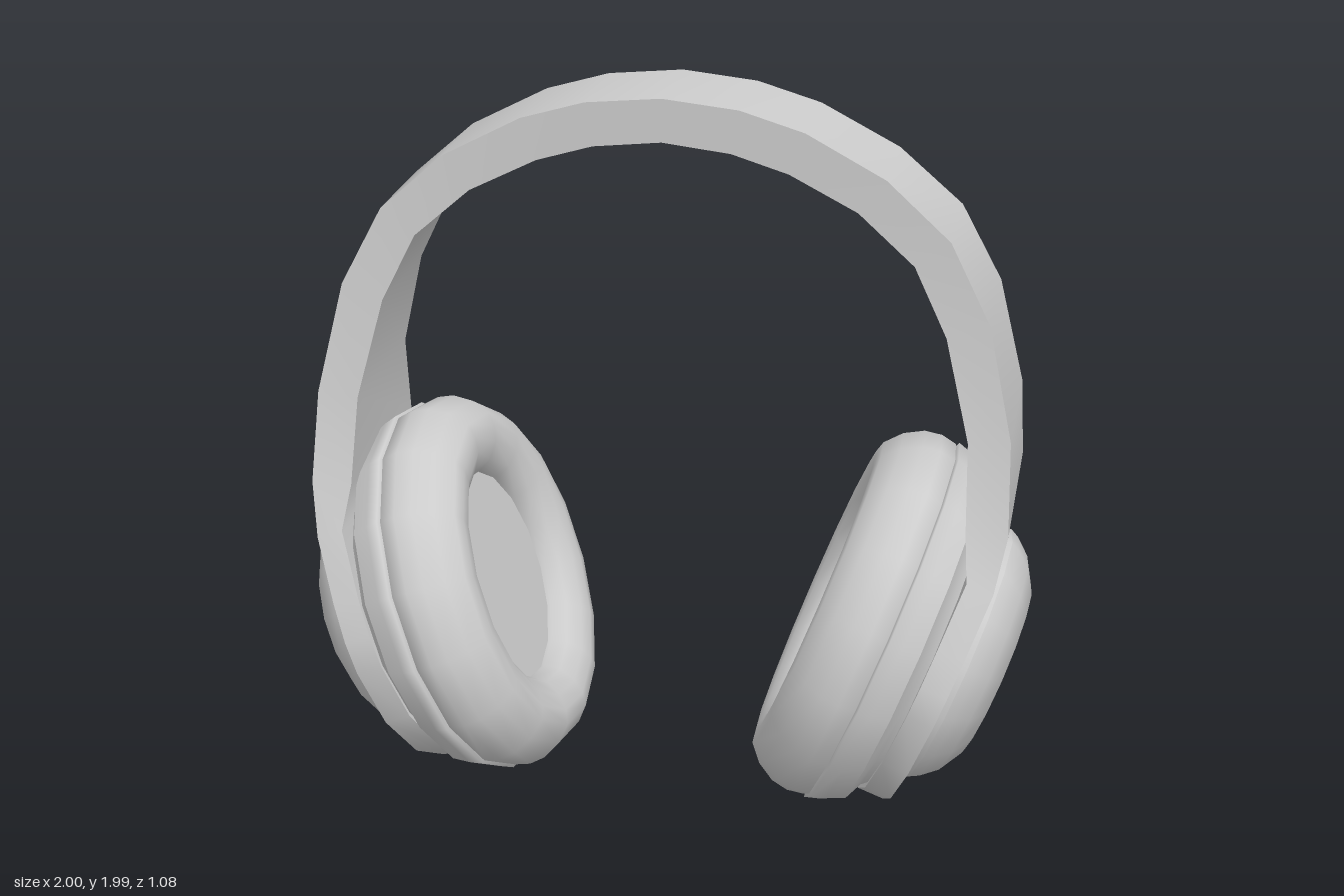
import * as THREE from 'three';

const material = new THREE.MeshStandardMaterial({ color: 0xcccccc, side: THREE.DoubleSide });
const TILT = THREE.MathUtils.degToRad(20.85);
const CUP = new THREE.Vector2(0.245, 0.643); // foot of the cup axis

// Point on the +x side: s along the cup axis (outward), t up the cup plane from its centre.
function cupPoint(s, t) {
  const c = Math.cos(TILT), n = Math.sin(TILT);
  return [CUP.x + s * c + t * n, CUP.y - s * n + t * c];
}

function lathe(name, profile) {
  const points = profile.map(([r, s]) => new THREE.Vector2(r, s));
  const mesh = new THREE.Mesh(new THREE.LatheGeometry(points, 16), material);
  mesh.name = name;
  return mesh;
}

// Headband swept over the head, widening into a round plate behind each cup.
function createHeadband() {
  // outer x, outer y, inner x, inner y, half width
  const half = [
    [0, 2, 0, 1.885, 0.147],
    [0.2, 1.98, 0.18, 1.865, 0.147],
    [0.37, 1.93, 0.33, 1.82, 0.148],
    [0.58, 1.82, 0.51, 1.73, 0.153],
    [0.75, 1.67, 0.66, 1.6, 0.165],
    [0.86, 1.46, 0.75, 1.42, 0.185],
    [0.93, 1.16, 0.82, 1.15, 0.223],
    [0.94, 0.92, 0.83, 0.92, 0.285],
  ];
  const plate = [[0.367, 0.345], [0.195, 0.42], [0.09, 0.452]];
  for (let i = 0; i <= 4; i++) {
    const a = (i * Math.PI) / 8;
    plate.push([-0.46 * Math.sin(a), 0.46 * Math.cos(a)]);
  }
  for (const [t, w] of plate) half.push([...cupPoint(0.575, t), ...cupPoint(0.5, t), Math.max(w, 0.001)]);

  const mirrored = half.slice(1).reverse().map(([a, b, c, d, w]) => [-a, b, -c, d, w]);
  const sections = [...mirrored, ...half];
  const zShift = -0.013;
  const corners = sections.map(([xo, yo, xi, yi, w]) => [
    [xo, yo, zShift + w], [xo, yo, zShift - w], [xi, yi, zShift - w], [xi, yi, zShift + w],
  ]);

  // Each of the four sides has its own vertices, so the long edges stay sharp.
  const positions = [], index = [];
  for (let side = 0; side < 4; side++) {
    const base = positions.length / 3;
    corners.forEach((c, i) => {
      positions.push(...c[side], ...c[(side + 1) % 4]);
      if (i === 0) return;
      const a = base + 2 * (i - 1);
      index.push(a, a + 2, a + 3, a, a + 3, a + 1);
    });
  }
  const geometry = new THREE.BufferGeometry();
  geometry.setAttribute('position', new THREE.Float32BufferAttribute(positions, 3));
  geometry.setIndex(index);
  geometry.computeVertexNormals();
  const mesh = new THREE.Mesh(geometry, material);
  mesh.name = 'headband';
  return mesh;
}

// One ear cup, turned around its axis; profiles are [radius, distance along axis].
function createEarCup(name) {
  const cup = new THREE.Group();
  cup.add(
    lathe('speakerCover', [[0, 0.262], [0.32, 0.262]]),
    lathe('cushion', [
      [0.31, 0.29], [0.302, 0.25], [0.325, 0.21], [0.37, 0.182], [0.415, 0.174],
      [0.455, 0.18], [0.5, 0.22], [0.53, 0.272], [0.538, 0.32], [0.53, 0.365], [0.5, 0.37],
    ]),
    lathe('cushionPlate', [[0.5, 0.368], [0.537, 0.372], [0.525, 0.41], [0.502, 0.46]]),
    lathe('backShell', [[0.502, 0.46], [0.45, 0.485], [0.42, 0.52], [0.4, 0.55]]),
    lathe('outerCapRim', [[0.37, 0.56], [0.375, 0.6]]),
    lathe('outerCap', [[0.375, 0.6], [0.362, 0.625], [0.325, 0.668], [0.255, 0.71], [0.13, 0.714], [0, 0.715]]),
  );
  cup.rotation.z = -Math.PI / 2 - TILT;
  cup.position.set(CUP.x, CUP.y, 0);
  const holder = new THREE.Group();
  holder.name = name;
  holder.add(cup);
  return holder;
}

export function createModel() {
  const model = new THREE.Group();
  model.name = 'headphones';
  const left = createEarCup('leftEarCup');
  const right = createEarCup('rightEarCup');
  right.rotation.y = Math.PI;
  model.add(createHeadband(), left, right);
  return model;
}
